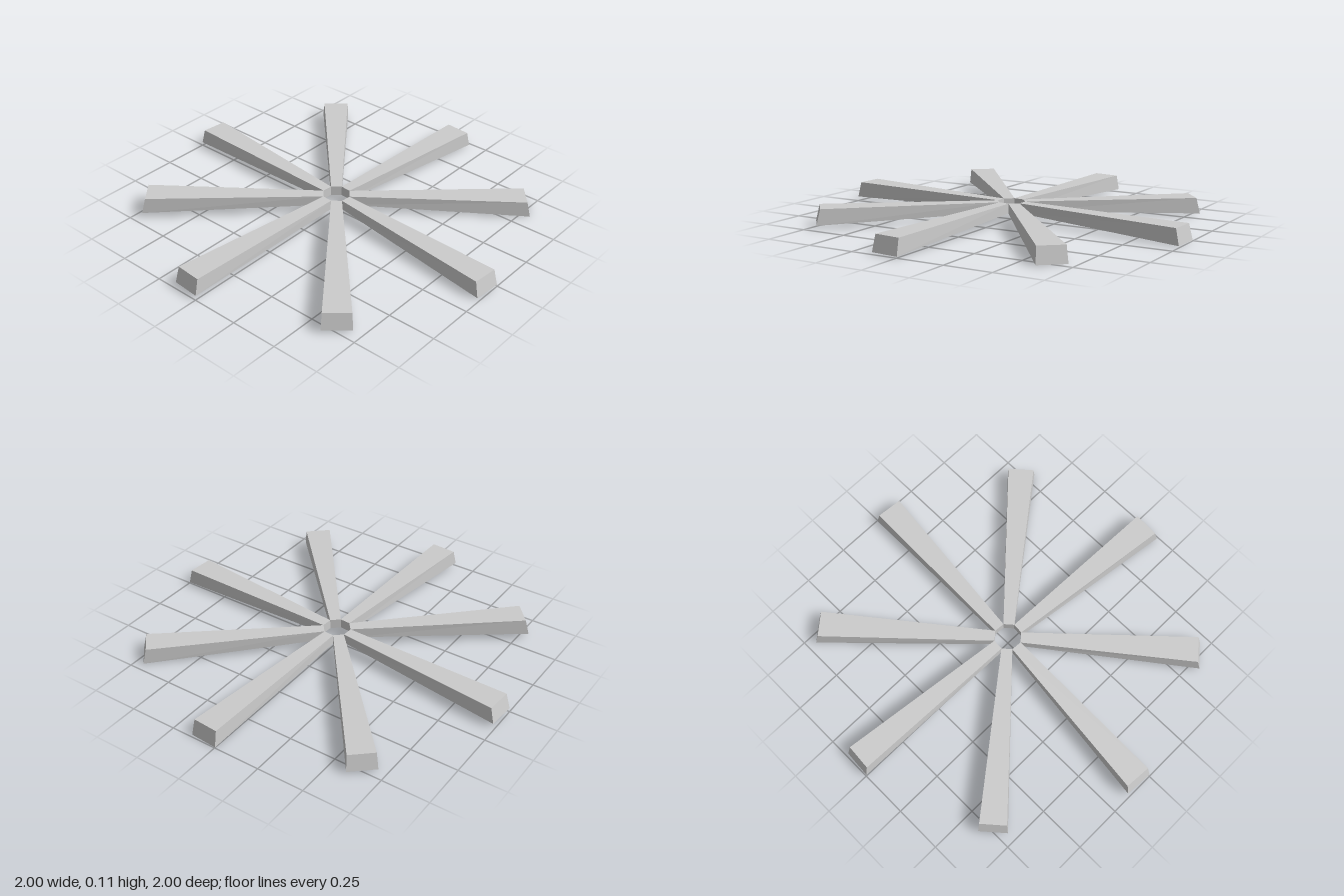
import * as THREE from 'three';

const material = new THREE.MeshStandardMaterial({ color: 0xcccccc, flatShading: true });

// Tapered bar along +x: square and thin at the hub, wide and deep at the tip
function spokeGeometry() {
  const top = 0.095;
  const geometry = new THREE.BoxGeometry(1, 1, 1);
  const p = geometry.attributes.position;
  for (let i = 0; i < p.count; i++) {
    const outer = p.getX(i) > 0;
    const upper = p.getY(i) > 0;
    const side = Math.sign(p.getZ(i));
    const x = outer ? (upper ? 0.975 : 0.995) : 0.067;
    const y = upper ? top : outer ? 0.0125 : 0.044;
    const halfWidth = outer ? (upper ? 0.068 : 0.073) : 0.0278;
    p.setXYZ(i, x, y, side * halfWidth);
  }
  geometry.computeVertexNormals();
  return geometry;
}

export function createModel() {
  const model = new THREE.Group();
  model.name = 'spokeWheel';

  // Eight spokes around an open octagonal hub, leaning very slightly
  const spokes = new THREE.Group();
  spokes.name = 'spokes';
  spokes.rotation.set(0.007, 0, -0.0115);
  const geometry = spokeGeometry();
  const offset = THREE.MathUtils.degToRad(4.15);
  for (let i = 0; i < 8; i++) {
    const spoke = new THREE.Mesh(geometry, material);
    spoke.name = `spoke${i + 1}`;
    spoke.rotation.y = (i * Math.PI) / 4 - offset;
    spokes.add(spoke);
  }
  model.add(spokes);
  return model;
}
